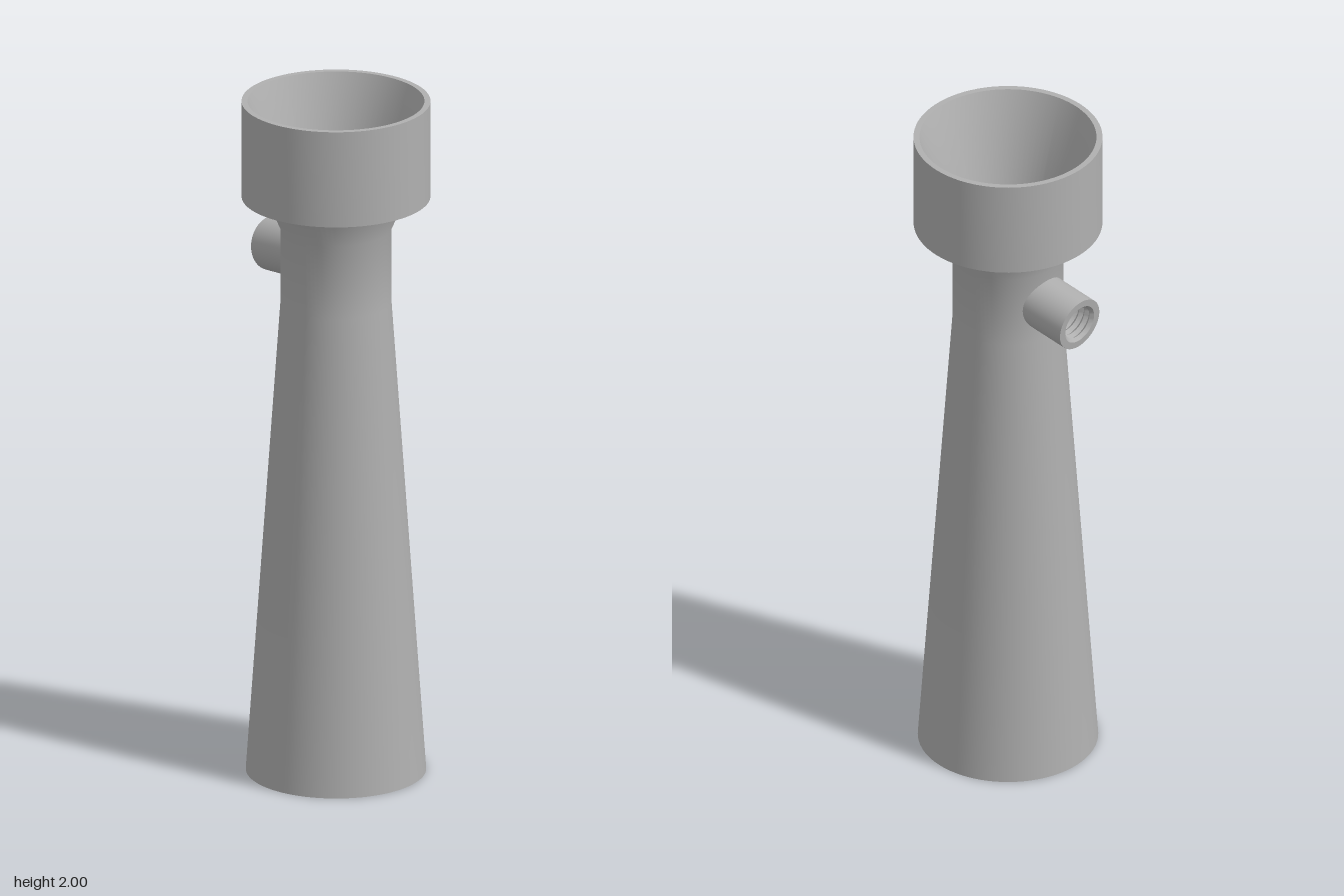
import * as THREE from 'three';
import { toCreasedNormals } from 'three/addons/utils/BufferGeometryUtils.js';

const metal = new THREE.MeshStandardMaterial({ color: 0xb0b0b0 });
metal.name = 'grey metal';

// Revolve a closed profile of [radius, y] pairs: up the outside, down the inside
function revolve(name, profile, segments) {
  const points = profile.map(([r, y]) => new THREE.Vector2(r, y));
  points.push(points[0].clone());
  const mesh = new THREE.Mesh(toCreasedNormals(new THREE.LatheGeometry(points, segments), 0.55), metal);
  mesh.name = name;
  return mesh;
}

export function createModel() {
  const model = new THREE.Group();
  model.name = 'nozzle';
  const axisX = 0.0115;

  // Hollow tapered tube with a flared neck, wide collar and funnel mouth
  const body = revolve('body', [
    [0.255, 0], [0.157, 1.4], [0.157, 1.62], [0.197, 1.715],
    [0.267, 1.715], [0.267, 2],
    [0.25, 2], [0.113, 1.62], [0.113, 1.4], [0.211, 0],
  ], 80);
  body.position.x = axisX;
  model.add(body);

  // Crossed vanes inside the lower bore, tapering with the wall
  const vaneShape = new THREE.Shape([
    new THREE.Vector2(-0.216, 0.003), new THREE.Vector2(0.216, 0.003),
    new THREE.Vector2(0.188, 0.4), new THREE.Vector2(-0.188, 0.4),
  ]);
  for (let i = 0; i < 2; i++) {
    const geometry = new THREE.ExtrudeGeometry(vaneShape, { depth: 0.02, bevelEnabled: false });
    geometry.translate(0, 0, -0.01);
    const vane = new THREE.Mesh(geometry, metal);
    vane.name = 'vane';
    vane.position.x = axisX;
    vane.rotation.y = i * Math.PI / 2;
    model.add(vane);
  }

  // Side port, tipped slightly downward, with a threaded bore
  const length = 0.16;
  const port = [[0.079, 0], [0.079, length], [0.058, length]];
  const threads = 8;
  for (let i = 0; i < threads; i++) {
    const y = length * (1 - (i + 0.5) / threads);
    port.push([0.049, y], [0.058, y - length / threads / 2]);
  }
  const sidePort = revolve('sidePort', port, 48);
  const tilt = Math.PI / 2 + 0.096;
  sidePort.rotation.z = tilt;
  // Place the open end at the tip
  sidePort.position.set(-0.272 + Math.sin(tilt) * length, 1.498 - Math.cos(tilt) * length, 0);
  model.add(sidePort);

  return model;
}
